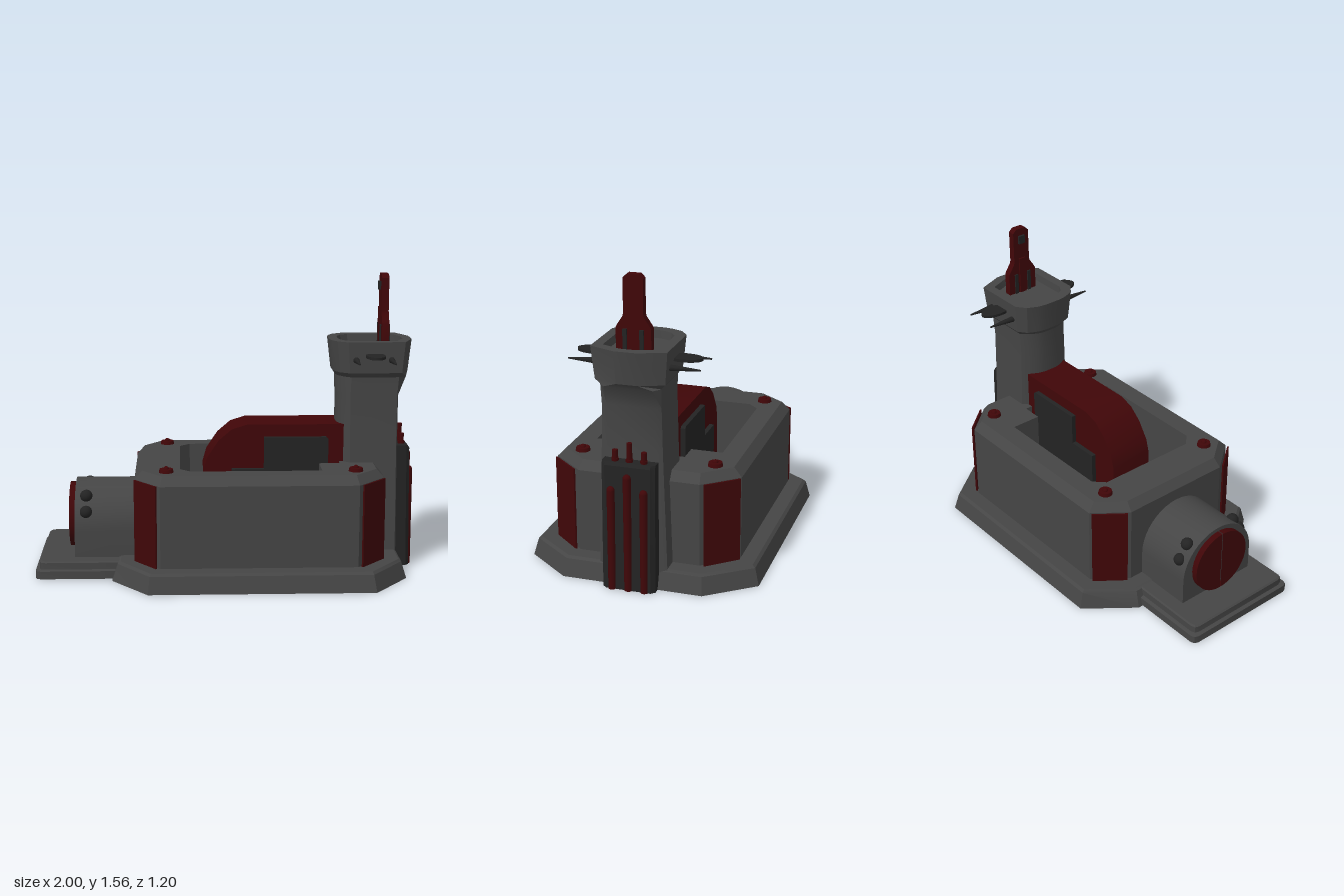
import * as THREE from 'three';
import { toCreasedNormals } from 'three/addons/utils/BufferGeometryUtils.js';

const paint = (name, color) => {
  const m = new THREE.MeshStandardMaterial({ color, side: THREE.DoubleSide });
  m.name = name;
  return m;
};

export function createModel() {
  const model = new THREE.Group();
  const grey = paint('concrete grey', 0x454545);
  const dark = paint('dark metal', 0x232323);
  const red = paint('deep red', 0x400608);

  const add = (name, geo, mat, x = 0, y = 0, z = 0) => {
    const mesh = new THREE.Mesh(geo, mat);
    mesh.name = name;
    mesh.position.set(x, y, z);
    model.add(mesh);
    return mesh;
  };
  const box = (name, mat, x0, x1, y0, y1, z0, z1) =>
    add(name, new THREE.BoxGeometry(x1 - x0, y1 - y0, z1 - z0), mat, (x0 + x1) / 2, (y0 + y1) / 2, (z0 + z1) / 2);

  // Plan outline: the +z half, running from +x to -x, mirrored across z
  const mirror = (half) => [...half, ...half.map(([x, z]) => [x, -z]).reverse()];

  // Skin stacked outlines [y, half outline]; optional fan caps
  function loft(levels, capStart, capEnd) {
    const rings = levels.map(([y, half]) => mirror(half).map(([x, z]) => new THREE.Vector3(x, y, z)));
    const pos = [];
    const tri = (...v) => v.forEach((p) => pos.push(p.x, p.y, p.z));
    const n = rings[0].length;
    for (let k = 0; k + 1 < rings.length; k++) {
      for (let i = 0; i < n; i++) {
        const j = (i + 1) % n, a = rings[k], b = rings[k + 1];
        tri(a[i], b[i], b[j]);
        tri(a[i], b[j], a[j]);
      }
    }
    const cap = (ring, up) => {
      const c = ring.reduce((s, p) => s.add(p), new THREE.Vector3()).divideScalar(n);
      ring.forEach((p, i) => (up ? tri(c, ring[(i + 1) % n], p) : tri(c, p, ring[(i + 1) % n])));
    };
    if (capStart) cap(rings[0], false);
    if (capEnd) cap(rings[rings.length - 1], true);
    const geo = new THREE.BufferGeometry();
    geo.setAttribute('position', new THREE.Float32BufferAttribute(pos, 3));
    return toCreasedNormals(geo, 0.5);
  }

  const extrude = (points, depth) => {
    const shape = new THREE.Shape(points.map(([x, y]) => new THREE.Vector2(x, y)));
    return toCreasedNormals(new THREE.ExtrudeGeometry(shape, { depth, bevelEnabled: false }), 0.5);
  };

  // Sloped foundation
  const wall = [[0.815, 0.312], [0.667, 0.483], [-0.347, 0.483], [-0.48, 0.312]];
  add('foundation', loft([
    [0, [[0.935, 0.36], [0.75, 0.598], [-0.41, 0.598], [-0.6, 0.36]]],
    [0.088, [[0.908, 0.35], [0.735, 0.575], [-0.4, 0.575], [-0.57, 0.35]]],
    [0.1, [[0.895, 0.345], [0.73, 0.56], [-0.395, 0.56], [-0.555, 0.345]]],
    [0.1, wall],
  ]), grey);

  // Main hall: walls, bevelled eaves, roof and deep sunken court
  const widen = (half) => [half[0], ...half];
  const roof = widen([[0.775, 0.305], [0.655, 0.44], [-0.335, 0.44], [-0.44, 0.305]]);
  const court = [[0.6, 0.17], [0.49, 0.17], [0.49, 0.335], [-0.19, 0.335], [-0.245, 0.28]];
  add('mainHall', loft([
    [0.1, widen(wall)], [0.53, widen(wall)], [0.575, roof], [0.575, court], [0.25, court],
  ], false, true), grey);

  // Raised red panels on the chamfered corners
  for (const s of [1, -1]) {
    for (const [a, b] of [[[0.819, 0.338], [0.691, 0.485]], [[-0.371, 0.485], [-0.484, 0.338]]]) {
      const dx = b[0] - a[0], dz = (b[1] - a[1]) * s, len = Math.hypot(dx, dz);
      const side = Math.sign(a[0]);
      const panel = add('cornerPanel', new THREE.BoxGeometry(len, 0.432, 0.009), red,
        (a[0] + b[0]) / 2 - (side * 0.005 * Math.abs(dz)) / len, 0.316,
        s * ((a[1] + b[1]) / 2 - (0.005 * Math.abs(dx)) / len));
      panel.rotation.y = -Math.atan2(dz, dx);
    }
  }

  // Roof studs
  for (const x of [-0.315, 0.662]) {
    for (const z of [0.347, -0.347]) {
      add('roofStud', new THREE.CylinderGeometry(0.034, 0.038, 0.018, 16), red, x, 0.584, z);
      add('roofStudCap', new THREE.SphereGeometry(0.015, 10, 8), red, x, 0.592, z);
    }
  }

  // Red spine with dark stepped side plates, both passing through the court floor
  add('spine', extrude([
    [-0.12, 0.08], [-0.12, 0.53], [-0.1, 0.6], [-0.04, 0.69], [0.03, 0.75], [0.11, 0.775],
    [0.625, 0.775], [0.625, 0.08],
  ], 0.25), red, 0, 0, -0.13);
  add('spineSidePlates', extrude([
    [0.03, 0.12], [0.03, 0.54], [0.2, 0.54], [0.2, 0.71], [0.53, 0.71], [0.54, 0.7], [0.54, 0.12],
  ], 0.3), dark, 0, 0, -0.155);

  // Watch tower: squared shaft, flared head and sunken deck
  const fit = (half, x0, x1, w) => half.map(([u, v]) => [x0 + u * (x1 - x0), v * w]);
  const shaft = (x0, x1, w, corner = 0.97) =>
    fit([[1, 0.8], [corner, 1], [0.2, 1], [0.11, 0.8], [0.03, 0.5], [0, 0.25]], x0, x1, w);
  const head = (x0, x1, w) =>
    fit([[1, 0.3], [0.88, 1], [0.2, 1], [0.08, 0.8], [0.02, 0.5], [0, 0.25]], x0, x1, w);
  add('tower', loft([
    [0, shaft(0.59, 0.91, 0.178)], [0.7, shaft(0.59, 0.907, 0.155)], [0.93, shaft(0.588, 0.907, 0.15)],
    [1.03, shaft(0.583, 0.945, 0.153, 0.89)], [1.055, head(0.565, 0.965, 0.175)],
    [1.22, head(0.545, 0.982, 0.19)], [1.22, head(0.595, 0.935, 0.14)], [1.18, head(0.6, 0.93, 0.135)],
  ], true, true), grey);

  // Fin on the tower deck
  const fin = add('fin', extrude([
    [-0.088, 1.18], [-0.088, 1.3], [-0.08, 1.315], [-0.053, 1.355], [-0.05, 1.37], [-0.05, 1.54], [-0.03, 1.56],
    [0.03, 1.56], [0.05, 1.54], [0.05, 1.37], [0.053, 1.355], [0.08, 1.315], [0.088, 1.3], [0.088, 1.18],
  ], 0.038), red, 0.858);
  fin.rotation.y = -Math.PI / 2;
  box('finFoot', red, 0.812, 0.83, 1.18, 1.385, -0.02, 0.02);
  box('finLamp', dark, 0.808, 0.822, 1.475, 1.52, -0.02, 0.02);
  for (const z of [0.042, -0.042]) box('finSlot', dark, 0.813, 0.867, 1.18, 1.295, z - 0.01, z + 0.01);

  // Side antennas: a flat paddle and two tapered rods
  for (const s of [1, -1]) {
    const paddle = add('paddle', new THREE.CylinderGeometry(1, 1, 0.014, 20), dark, 0.77, 1.15, s * 0.225);
    paddle.scale.set(0.05, 1, 0.09);
    for (const x of [0.675, 0.86]) {
      const rod = add('antennaRod', new THREE.CylinderGeometry(0.004, 0.018, 0.17, 10), dark, x, 1.125, s * 0.245);
      rod.rotation.x = (s * Math.PI) / 2;
    }
  }

  // Rear power column with red pipes
  const column = (x) => [[x, 0.115], [x - 0.018, 0.135], [0.9, 0.135]];
  add('powerColumn', loft([[0, column(0.985)], [0.645, column(0.975)], [0.66, column(0.965)]], false, true), dark);
  for (const [z, top] of [[0, 0.61], [0.083, 0.54], [-0.083, 0.54]]) {
    add('pipe', new THREE.CylinderGeometry(0.02, 0.02, top - 0.02, 14), red, 0.979, (top - 0.02) / 2, z);
    add('pipeEnd', new THREE.SphereGeometry(0.02, 14, 10), red, 0.979, top - 0.02, z);
    const tip = z ? 0.715 : 0.755;
    add('columnStub', new THREE.CylinderGeometry(0.014, 0.014, tip - 0.65, 12), red, 0.937, (tip + 0.65) / 2, z * 0.88);
    add('stubCollar', new THREE.CylinderGeometry(0.018, 0.018, 0.02, 12), red, 0.937, 0.664, z * 0.88);
  }

  // Entrance platform with dark panels underneath
  const slab = (x0, w) => [[-0.48, w], [x0 + 0.03, w], [x0 + 0.008, w - 0.008], [x0, w - 0.03]];
  add('platform', loft([
    [0.004, slab(-1, 0.335)], [0.045, slab(-1, 0.335)], [0.05, slab(-0.98, 0.315)],
    [0.085, slab(-0.98, 0.315)], [0.092, slab(-0.972, 0.308)],
  ], true, true), grey);
  for (const [x0, x1] of [[-0.97, -0.61], [-0.58, -0.5]]) {
    box('platformUnderside', dark, x0, x1, 0, 0.006, -0.3, 0.3);
  }

  // Barrel-roofed entrance tunnel
  const arch = [[-0.235, 0.06]];
  for (let i = 0; i <= 20; i++) {
    const a = Math.PI - (i / 20) * Math.PI;
    arch.push([0.235 * Math.cos(a), 0.23 + 0.235 * Math.sin(a)]);
  }
  arch.push([0.235, 0.06]);
  add('tunnel', extrude(arch, 0.33), grey, -0.47).rotation.y = -Math.PI / 2;

  // Round door in two halves
  for (const s of [1, -1]) {
    const half = new THREE.CylinderGeometry(0.173, 0.173, 0.04, 20, 1, false, (-s * Math.PI) / 2, Math.PI);
    add('doorHalf', half, red, -0.813, 0.27, s * 0.002).rotation.z = Math.PI / 2;
  }

  // Lamps on the tunnel shoulders
  for (const s of [1, -1]) {
    for (const [y, z] of [[0.405, 0.16], [0.33, 0.207]]) {
      add('tunnelLamp', new THREE.SphereGeometry(0.033, 16, 12), dark, -0.74, y, s * z);
    }
  }
  return model;
}
